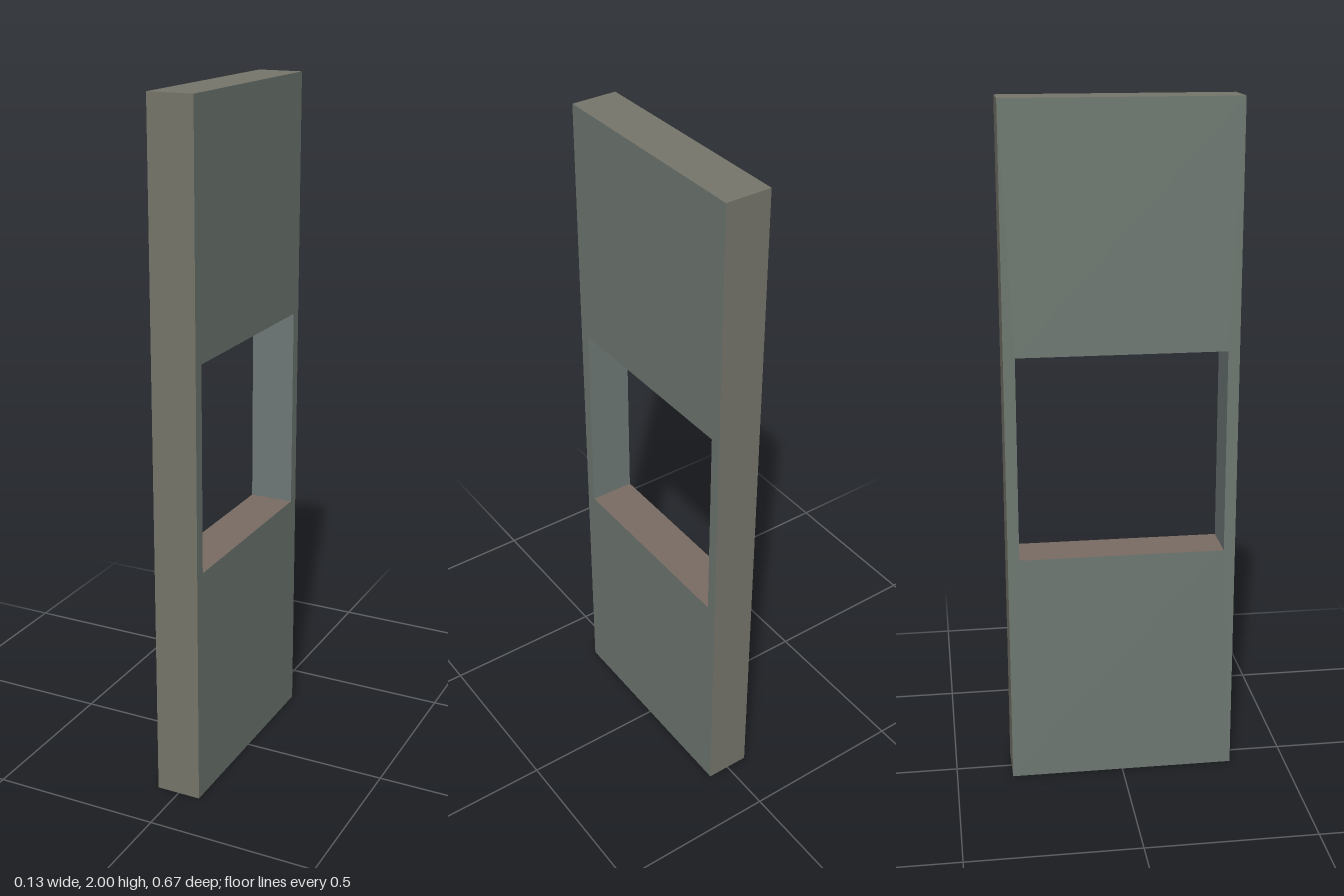
import * as THREE from 'three';

const T = 0.1333, W = 0.6667, H = 2; // thickness (x), width (z), height (y)
const HOLE = 0.6;                    // square opening, centred

const paint = (color) => new THREE.MeshStandardMaterial({ color });

export function createModel() {
  const group = new THREE.Group();
  const face = paint(0x6e7871), rim = paint(0x76766b);
  const sill = paint(0x7a6c63), jamb = paint(0x6f7977);

  const add = (name, geometry, material) => {
    const mesh = new THREE.Mesh(geometry, material);
    mesh.name = name;
    group.add(mesh);
  };

  // Broad wall faces, pierced by the window opening
  const outline = new THREE.Shape([[-1, -1], [1, -1], [1, 1], [-1, 1]]
    .map(([a, b]) => new THREE.Vector2(a * W / 2, b * H / 2)));
  outline.holes.push(new THREE.Path([[-1, -1], [-1, 1], [1, 1], [1, -1]]
    .map(([a, b]) => new THREE.Vector2(a * HOLE / 2, b * HOLE / 2))));
  for (const s of [1, -1]) {
    add(s > 0 ? 'leftWallFace' : 'rightWallFace',
      new THREE.ShapeGeometry(outline).rotateY(s * Math.PI / 2).translate(s * T / 2, H / 2, 0), face);
  }

  // Upright strip facing +z or -z, and level strip facing up or down
  const upright = (s, height, z) => new THREE.PlaneGeometry(T, height)
    .rotateY(s > 0 ? 0 : Math.PI).translate(0, H / 2, z);
  const level = (s, depth, y) => new THREE.PlaneGeometry(T, depth)
    .rotateX(-s * Math.PI / 2).translate(0, y, 0);

  for (const s of [1, -1]) {
    // Outer rim of the wall
    add(s > 0 ? 'frontEnd' : 'backEnd', upright(s, H, s * W / 2), rim);
    add(s > 0 ? 'wallTop' : 'wallBottom', level(s, W, H / 2 + s * H / 2), rim);
    // Inner sides of the opening, facing its centre
    add(s > 0 ? 'backJamb' : 'frontJamb', upright(s, HOLE, -s * HOLE / 2), jamb);
    add(s > 0 ? 'windowSill' : 'windowHead', level(s, HOLE, H / 2 - s * HOLE / 2), sill);
  }
  return group;
}
